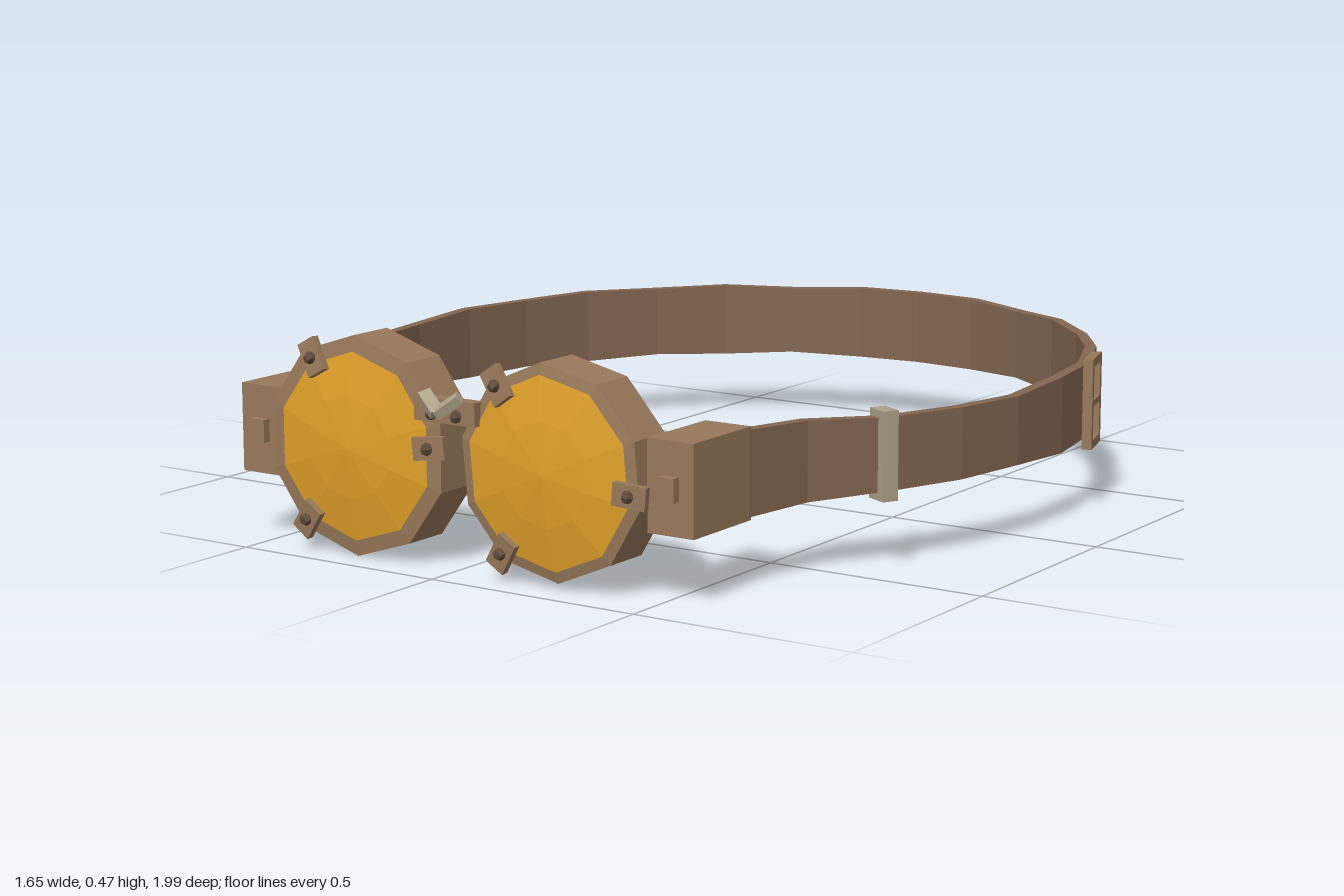
import * as THREE from 'three';

const mat = (color, extra = {}) => new THREE.MeshStandardMaterial({ color, flatShading: true, ...extra });

export function createModel() {
  const group = new THREE.Group();
  group.name = 'goggles';
  const leather = mat(0x98795a);
  const strapMat = mat(0x836650);
  const metal = mat(0xaca086);
  const dark = mat(0x5c4a38);
  const glass = mat(0xe0a028, { side: THREE.DoubleSide });
  const MID = 0.24;

  function add(parent, name, geo, material, x = 0, y = 0, z = 0) {
    const m = new THREE.Mesh(geo, material);
    m.name = name;
    m.position.set(x, y, z);
    parent.add(m);
    return m;
  }
  const box = (w, h, d) => new THREE.BoxGeometry(w, h, d);
  // Ten-sided turned part whose axis points to the front
  const turned = (pts) =>
    new THREE.LatheGeometry(pts.map(([r, z]) => new THREE.Vector2(r, z)), 10).rotateX(Math.PI / 2);

  // Eyepieces: hollow rim, faceted domed lens and three riveted tabs
  function eyepiece(name, x, y, radius, turn, tabAngles) {
    const eye = new THREE.Group();
    eye.name = name;
    eye.position.set(x, y, 0.875);
    group.add(eye);
    const rim = turned([[0.168, -0.055], [radius, -0.055], [radius, 0.053], [0.2, 0.058], [0.168, 0.055], [0.168, -0.055]]);
    add(eye, 'rim', rim, leather).rotation.z = turn;
    const lens = turned([[0.201, 0.059], [0.11, 0.074], [0, 0.084]]);
    add(eye, 'lens', lens, glass).rotation.z = turn;
    for (const deg of tabAngles) {
      const tab = new THREE.Group();
      tab.name = 'lensTab';
      const a = THREE.MathUtils.degToRad(deg);
      tab.position.set(Math.cos(a) * 0.207, Math.sin(a) * 0.207, 0.066);
      tab.rotation.z = a;
      add(tab, 'tabPlate', box(0.075, 0.048, 0.016), leather).rotation.y = 0.12;
      add(tab, 'tabRivet', new THREE.SphereGeometry(0.014, 6, 4), dark, 0, 0, 0.011);
      eye.add(tab);
    }
  }
  eyepiece('rightEyepiece', -0.252, 0.238, 0.235, 0, [119, 6, 234]);
  eyepiece('leftEyepiece', 0.247, 0.24, 0.225, 0.09, [125, -5, 238]);

  // Nose bridge with a V-shaped metal bracket
  add(group, 'bridge', box(0.155, 0.05, 0.03), leather, 0, 0.343, 0.936);
  for (const s of [-1, 1]) {
    const arm = add(group, 'bridgeBracket', box(0.06, 0.02, 0.028), metal, s * 0.023, 0.36, 0.966);
    arm.rotation.set(0.3, s * 0.5, s * 0.5);
    add(group, 'bridgeRivet', new THREE.SphereGeometry(0.014, 6, 4), dark, s * 0.032, 0.336, 0.953);
  }

  // Side blocks, studs and strap clips
  for (const s of [-1, 1]) {
    add(group, 'sideBlock', box(0.11, 0.192, 0.207), leather, s * 0.526, MID, 0.805);
    add(group, 'sideStud', box(0.04, 0.05, 0.02), leather, s * 0.526, MID, 0.917);
    add(group, 'strapClip', box(0.055, 0.19, 0.036), metal, s * 0.708, MID, 0.395).rotation.y = -s * 0.5;
  }

  // Strap: rectangular sections [x, z, half height] swept round the head
  const half = [
    [0.565, 0.72, 0.09], [0.605, 0.54, 0.085], [0.705, 0.39, 0.078], [0.778, 0.21, 0.077],
    [0.812, 0.03, 0.075], [0.812, -0.17, 0.085], [0.778, -0.36, 0.083], [0.71, -0.53, 0.088],
    [0.605, -0.69, 0.084], [0.475, -0.815, 0.088], [0.33, -0.905, 0.082], [0.165, -0.97, 0.088],
  ];
  const path = [...half, [0, -0.986, 0.088], ...half.map(([x, z, h]) => [-x, z, h]).reverse()];
  const pos = [], idx = [], T = 0.013;
  path.forEach(([x, z, h], i) => {
    const p = path[Math.max(i - 1, 0)], q = path[Math.min(i + 1, path.length - 1)];
    const len = Math.hypot(q[0] - p[0], q[1] - p[1]);
    const nx = -(q[1] - p[1]) / len * T, nz = (q[0] - p[0]) / len * T;
    for (const [o, v] of [[1, -1], [1, 1], [-1, 1], [-1, -1]]) pos.push(x + o * nx, MID + v * h, z + o * nz);
    if (i === path.length - 1) return;
    for (let k = 0; k < 4; k++) {
      const a = i * 4 + k, b = i * 4 + (k + 1) % 4;
      idx.push(a, a + 4, b + 4, a, b + 4, b);
    }
  });
  const strap = new THREE.BufferGeometry();
  strap.setAttribute('position', new THREE.Float32BufferAttribute(pos, 3));
  strap.setIndex(idx);
  strap.computeVertexNormals();
  add(group, 'strap', strap, strapMat);

  // Buckle: frame with two windows on the left of the strap
  const shape = new THREE.Shape([[-0.052, -0.102], [0.052, -0.102], [0.052, 0.102], [-0.052, 0.102]].map((p) => new THREE.Vector2(...p)));
  for (const s of [-1, 1]) {
    const c = s * 0.045;
    shape.holes.push(new THREE.Path([[-0.036, c - 0.038], [-0.036, c + 0.038], [0.036, c + 0.038], [0.036, c - 0.038]].map((p) => new THREE.Vector2(...p))));
  }
  const frame = new THREE.ExtrudeGeometry(shape, { depth: 0.022, bevelEnabled: false });
  add(group, 'buckle', frame, leather, 0.792, MID, -0.354).rotation.y = Math.PI / 2 + 0.28;

  return group;
}
